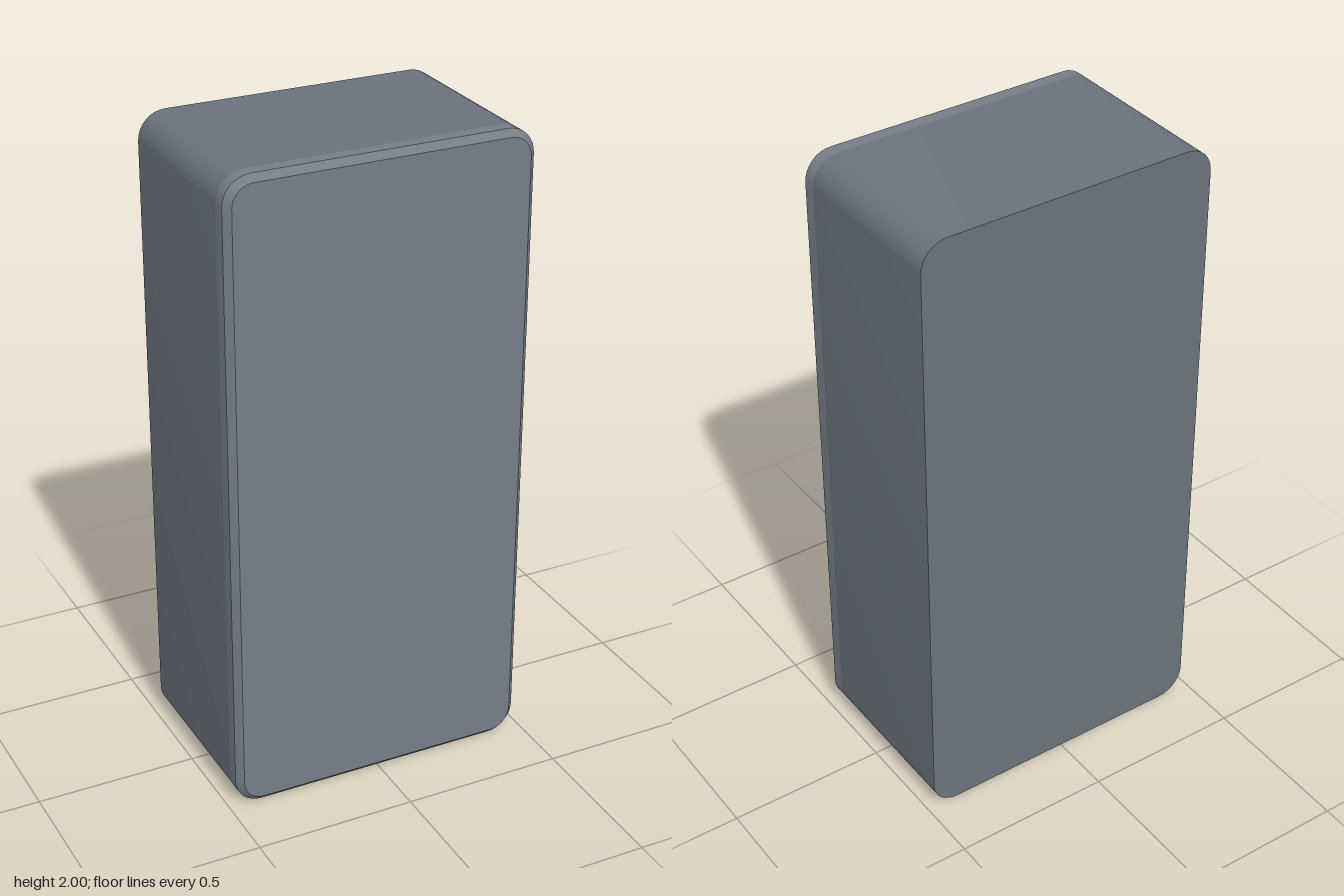
import * as THREE from 'three';
import { toCreasedNormals } from 'three/addons/utils/BufferGeometryUtils.js';

const HALF_W = 0.476, HEIGHT = 2, BACK = -0.3, FRONT = 0.3;
const RADIUS = 0.085, WALL = 0.06, CHAMFER = 0.02;
const SEAM = FRONT - WALL;      // plane where the lid meets the body
const FLAT = HALF_W - RADIUS;   // half width of the flat part of the underside

// Rounded rectangle, anticlockwise from the right end of the bottom edge
function ring(inset, z) {
  const points = [], steps = 8;
  const r = Math.max(RADIUS - inset, 0.01);
  const cx = HALF_W - inset - r, low = inset + r, high = HEIGHT - low;
  [[cx, low], [cx, high], [-cx, high], [-cx, low]].forEach(([x, y], corner) => {
    for (let i = 0; i <= steps; i++) {
      const a = (corner - 1 + i / steps) * Math.PI / 2;
      points.push(new THREE.Vector3(x + r * Math.cos(a), y + r * Math.sin(a), z));
    }
  });
  return points;
}

// A ring shrunk to its centre, which closes a loft with a flat cap
const centre = (z) => ring(0, z).map(() => new THREE.Vector3(0, HEIGHT / 2, z));

// Skin through a list of rings; openBelow leaves the walls' flat underside out
function loft(rings, openBelow = false) {
  const positions = [];
  const triangle = (a, b, c) => {
    if (a.equals(b) || b.equals(c) || c.equals(a)) return;
    for (const p of [a, b, c]) positions.push(p.x, p.y, p.z);
  };
  for (let k = 0; k + 1 < rings.length; k++) {
    const a = rings[k], b = rings[k + 1], n = a.length;
    const isWall = a[0].z !== b[0].z;
    const count = openBelow && isWall ? n - 1 : n;
    for (let i = 0; i < count; i++) {
      const j = (i + 1) % n;
      triangle(a[i], a[j], b[j]);
      triangle(a[i], b[j], b[i]);
    }
  }
  const geometry = new THREE.BufferGeometry();
  geometry.setAttribute('position', new THREE.Float32BufferAttribute(positions, 3));
  return toCreasedNormals(geometry, Math.PI / 6);
}

// Rectangle outline; shape y stands for -z
function rectangle(target, halfWidth, zMin, zMax) {
  target.moveTo(-halfWidth, -zMax);
  target.lineTo(halfWidth, -zMax);
  target.lineTo(halfWidth, -zMin);
  target.lineTo(-halfWidth, -zMin);
  target.closePath();
  return target;
}

export function createModel() {
  const group = new THREE.Group();
  group.name = 'case';
  const bodyMaterial = new THREE.MeshStandardMaterial({ color: 0x69727b });
  const lidMaterial = new THREE.MeshStandardMaterial({ color: 0x747e87 });
  const add = (name, geometry, material) => {
    const mesh = new THREE.Mesh(geometry, material);
    mesh.name = name;
    group.add(mesh);
  };

  // Hollow body: back, outer walls, rim, inner walls, inner back
  add('body', loft([
    centre(BACK), ring(0, BACK), ring(0, SEAM),
    ring(WALL, SEAM), ring(WALL, BACK + WALL), centre(BACK + WALL),
  ], true), bodyMaterial);

  // Underside plate with the rectangular slot
  const plate = rectangle(new THREE.Shape(), FLAT, BACK, SEAM);
  plate.holes.push(rectangle(new THREE.Path(), 0.23, -0.11, 0.05));
  const base = new THREE.ExtrudeGeometry(plate, { depth: WALL, bevelEnabled: false });
  base.rotateX(-Math.PI / 2);
  add('slottedBase', base, bodyMaterial);

  // Front lid with a chamfered edge
  add('lid', loft([
    centre(SEAM), ring(0, SEAM), ring(0, FRONT - CHAMFER), ring(CHAMFER, FRONT), centre(FRONT),
  ]), lidMaterial);

  // Locating lip on the inside of the lid
  const lipInset = WALL + 0.045, lipBack = SEAM - 0.04;
  add('lidLip', loft([
    ring(lipInset, SEAM), ring(lipInset, lipBack), ring(WALL, lipBack),
  ]), lidMaterial);

  return group;
}
